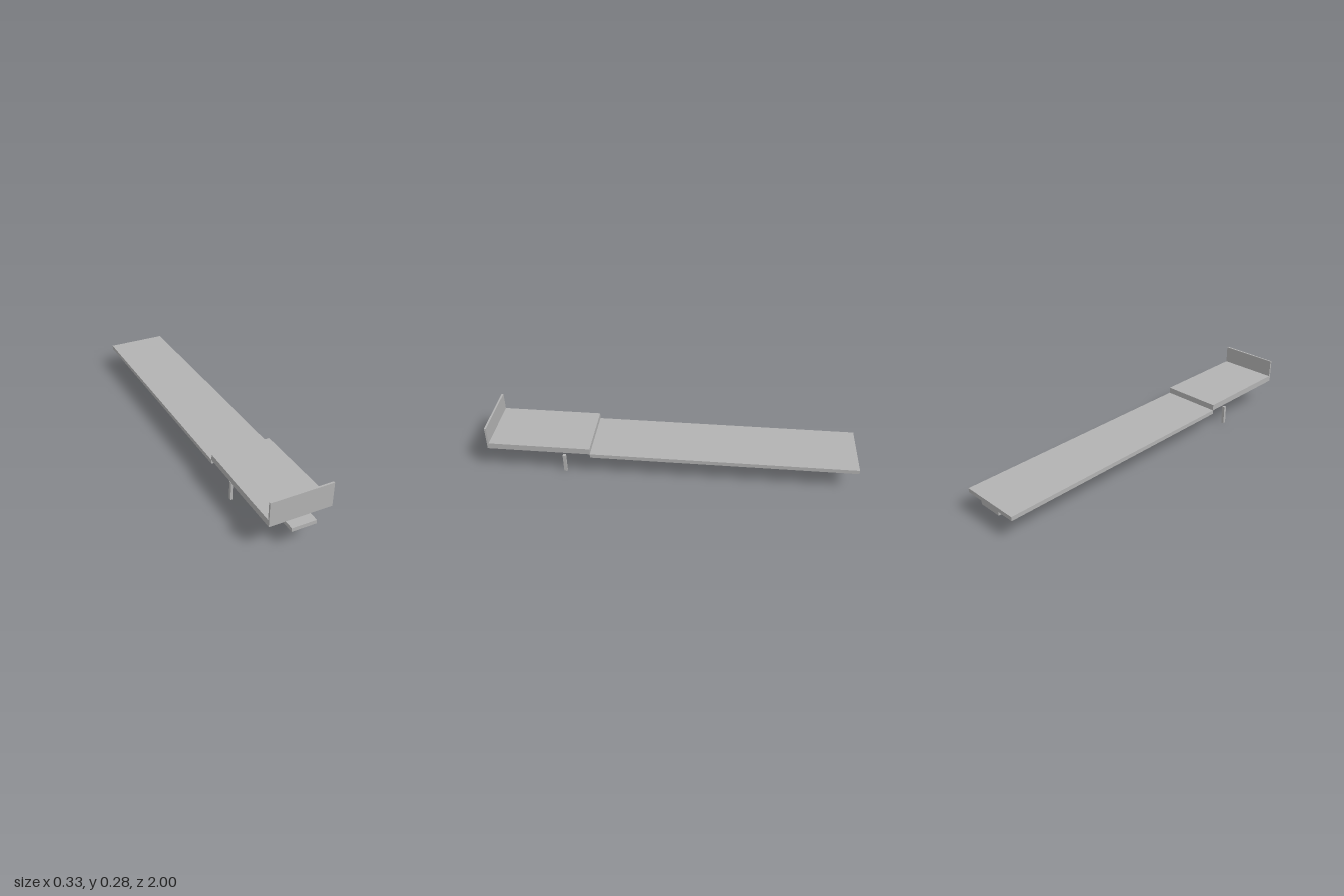
import * as THREE from 'three';

export function createModel() {
  const group = new THREE.Group();
  const grey = new THREE.MeshStandardMaterial({ color: 0xb2b2b2 });
  grey.name = 'grey';

  // Box given by its extents along each axis
  function slab(name, [x0, x1], [y0, y1], [z0, z1]) {
    const mesh = new THREE.Mesh(new THREE.BoxGeometry(x1 - x0, y1 - y0, z1 - z0), grey);
    mesh.position.set((x0 + x1) / 2, (y0 + y1) / 2, (z0 + z1) / 2);
    mesh.name = name;
    group.add(mesh);
  }

  const width = [-0.165, 0.165];

  // Central beam and the thin plate resting on its front end
  slab('beam', [-0.065, 0.065], [0.105, 0.125], [-1, 1]);
  slab('beamPlate', [-0.08, 0.08], [0.125, 0.133], [0.8, 0.935]);

  // Long lower deck, raised front deck and upright end board
  slab('lowerDeck', width, [0.125, 0.147], [-1, 0.415]);
  slab('raisedDeck', width, [0.147, 0.18], [0.415, 0.96]);
  slab('endBoard', width, [0.147, 0.277], [0.96, 0.97]);

  // Pair of legs
  for (const [side, x] of [['left', 0.132], ['right', -0.132]]) {
    slab(side + 'Leg', [x - 0.008, x + 0.008], [0, 0.105], [0.555, 0.571]);
  }

  return group;
}
